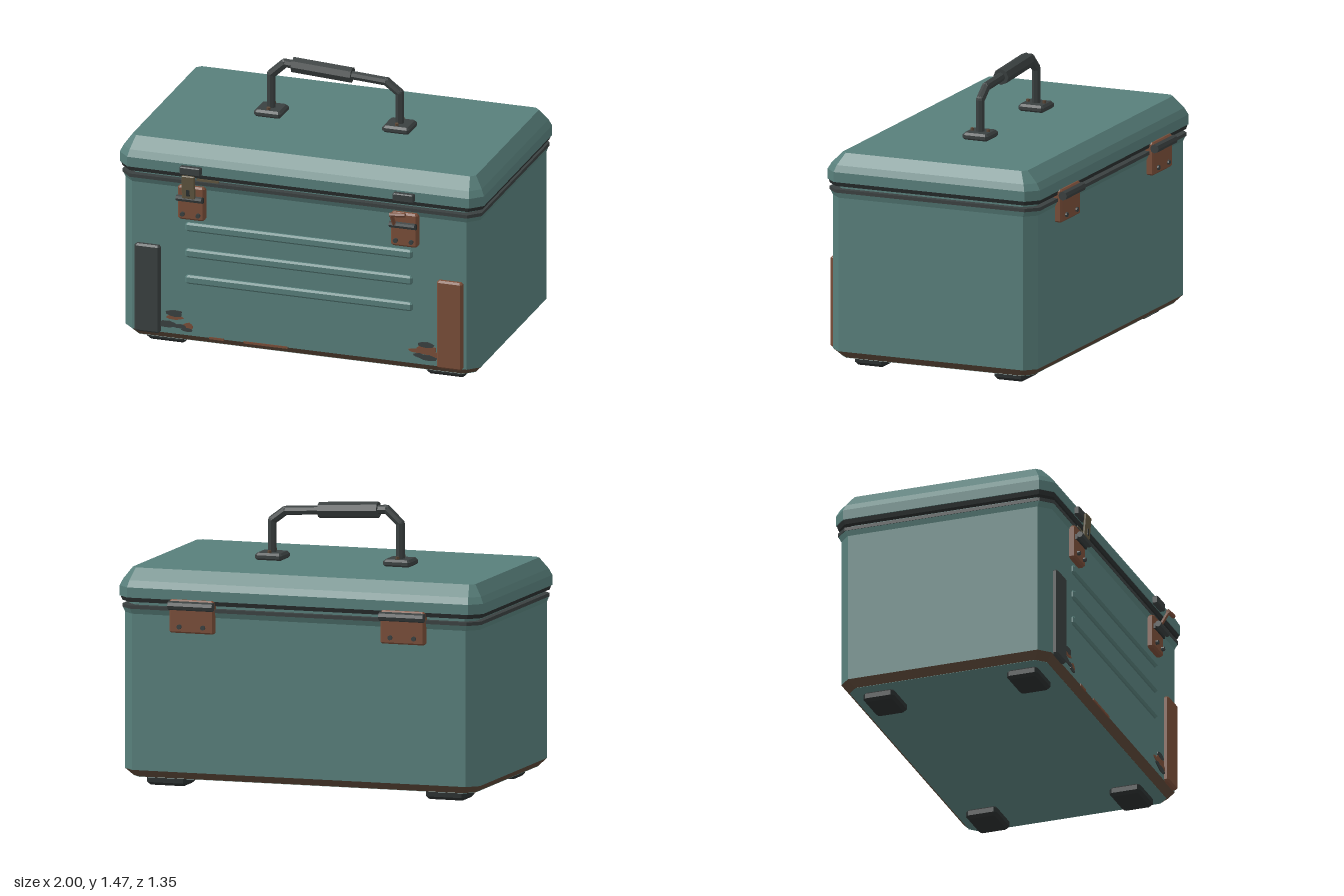
import * as THREE from 'three';

const mat = (name, color, opts = {}) => {
  const m = new THREE.MeshStandardMaterial({ color, flatShading: true, ...opts });
  m.name = name;
  return m;
};

export function createModel() {
  const M = {
    paint: mat('tealPaint', 0x587f7b),
    iron: mat('darkIron', 0x3a4040),
    rubber: mat('blackRubber', 0x2a2f2f),
    rust: mat('rust', 0x7a4e39),
    trim: mat('wornTrim', 0x5c4838),
    brass: mat('dullBrass', 0x615740),
  };
  const root = new THREE.Group();
  root.name = 'toolChest';

  const add = (name, geo, material, x = 0, y = 0, z = 0, parent = root) => {
    const mesh = new THREE.Mesh(geo, material);
    mesh.name = name;
    mesh.position.set(x, y, z);
    parent.add(mesh);
    return mesh;
  };

  // Stack of octagonal rings [y, halfX, halfZ, cornerCut], capped at both ends
  const loft = (rings) => {
    const loops = rings.map(([y, a, b, c]) =>
      [[a, b - c], [a - c, b], [c - a, b], [-a, b - c], [-a, c - b], [c - a, -b], [a - c, -b], [a, c - b]]
        .map(([x, z]) => [x, y, z]));
    const pos = [];
    const tri = (...pts) => pts.forEach((p) => pos.push(...p));
    for (let r = 0; r + 1 < loops.length; r++) {
      const lo = loops[r], hi = loops[r + 1];
      for (let i = 0; i < 8; i++) {
        const j = (i + 1) % 8;
        tri(lo[j], lo[i], hi[i]);
        tri(lo[j], hi[i], hi[j]);
      }
    }
    const bottom = loops[0], top = loops[loops.length - 1];
    for (let k = 1; k < 7; k++) {
      tri(bottom[0], bottom[k], bottom[k + 1]);
      tri(top[0], top[k + 1], top[k]);
    }
    const g = new THREE.BufferGeometry();
    g.setAttribute('position', new THREE.Float32BufferAttribute(pos, 3));
    g.computeVertexNormals();
    return g;
  };

  // Box with chamfered edges, centred on its origin
  const chamferBox = (w, h, d, b) => loft([
    [-h / 2, w / 2 - b, d / 2 - b, b * 0.5], [-h / 2 + b, w / 2, d / 2, b],
    [h / 2 - b, w / 2, d / 2, b], [h / 2, w / 2 - b, d / 2 - b, b * 0.5],
  ]);

  // Straight round bar between two points
  const rod = (name, a, b, r, material, sides = 8, parent = root) => {
    const from = new THREE.Vector3(...a), to = new THREE.Vector3(...b);
    const dir = to.clone().sub(from);
    const mesh = add(name, new THREE.CylinderGeometry(r, r, dir.length(), sides), material, 0, 0, 0, parent);
    mesh.position.copy(from).lerp(to, 0.5);
    mesh.quaternion.setFromUnitVectors(new THREE.Vector3(0, 1, 0), dir.normalize());
    return mesh;
  };

  const ZC = -0.024, FRONT = 0.56;

  // Body shell with worn bottom chamfer and flared rim
  add('bottomTrim', loft([[0.052, 0.94, 0.547, 0.05], [0.09, 0.976, 0.583, 0.058]]), M.trim, 0, 0, ZC);
  add('floor', loft([[0.05, 0.94, 0.547, 0.05], [0.053, 0.938, 0.545, 0.05]]), M.paint, 0, 0, ZC);
  add('body', loft([[0.09, 0.976, 0.583, 0.058], [0.91, 0.976, 0.583, 0.058], [0.94, 0.985, 0.597, 0.06]]),
    M.paint, 0, 0, ZC);
  add('rimSeal', loft([[0.938, 0.987, 0.599, 0.06], [0.956, 0.987, 0.599, 0.06]]), M.iron, 0, 0, ZC);
  add('neck', loft([[0.95, 0.955, 0.565, 0.05], [0.98, 0.955, 0.565, 0.05]]), M.paint, 0, 0, ZC);

  // Lid with gasket
  add('lidGasket', loft([[0.974, 0.988, 0.596, 0.06], [1.0, 0.996, 0.602, 0.06]]), M.rubber, 0, 0, ZC);
  add('lid', loft([[0.997, 1, 0.605, 0.062], [1.05, 1, 0.605, 0.062], [1.085, 0.984, 0.584, 0.052],
    [1.145, 0.942, 0.525, 0.025]]), M.paint, 0, 0, ZC);

  // Feet
  for (const x of [-0.767, 0.767])
    for (const z of [0.375, -0.42]) add('foot', chamferBox(0.216, 0.056, 0.172, 0.015), M.rubber, x, 0.028, z);

  // Front ribs and corner guards
  for (const y of [0.697, 0.552, 0.405])
    add('rib', chamferBox(1.248, 0.048, 0.036, 0.01), M.paint, 0, y, FRONT);
  add('rightGuard', chamferBox(0.14, 0.487, 0.05, 0.01), M.iron, -0.83, 0.331, FRONT);
  add('leftGuard', chamferBox(0.14, 0.487, 0.05, 0.01), M.rust, 0.83, 0.331, FRONT);

  // Carry handle: foot plates, bent bar, grip
  for (const x of [-0.355, 0.35]) {
    add('handlePlate', chamferBox(0.15, 0.04, 0.146, 0.012), M.iron, x, 1.162, ZC);
    for (const dz of [-0.046, 0.046])
      add('plateRivet', new THREE.CylinderGeometry(0.01, 0.01, 0.016, 6), M.trim, x, 1.187, ZC + dz);
  }
  const bar = [[-0.355, 1.17], [-0.355, 1.365], [-0.28, 1.435], [0.278, 1.402], [0.35, 1.348], [0.35, 1.17]]
    .map(([x, y]) => [x, y, ZC]);
  for (let i = 0; i + 1 < bar.length; i++) {
    rod('handleBar', bar[i], bar[i + 1], 0.024, M.iron);
    if (i) add('handleBend', new THREE.SphereGeometry(0.024, 8, 6), M.iron, ...bar[i]);
  }
  rod('handleGrip', [-0.235, 1.431, ZC], [0.09, 1.413, ZC], 0.043, M.iron);

  // Front latches: strike on the lid, rusty plate and pivot on the body
  for (const s of [-1, 1]) {
    const latch = new THREE.Group();
    latch.name = s < 0 ? 'rightLatch' : 'leftLatch';
    latch.position.x = s * 0.585;
    root.add(latch);
    add('latchStrike', chamferBox(0.115, 0.044, 0.06, 0.005), M.iron, 0, 1.02, 0.58, latch);
    add('latchPlate', chamferBox(0.148, 0.187, 0.06, 0.01), M.rust, 0, 0.838, 0.565, latch);
    add('latchBand', new THREE.BoxGeometry(0.142, 0.028, 0.012), M.rubber, 0, 0.863, 0.597, latch);
    rod('latchPivot', [-0.07, 0.873, 0.616], [0.07, 0.873, 0.616], 0.017, M.iron, 8, latch);
    for (const x of [-0.043, 0.043]) {
      const screw = add('latchScrew', new THREE.CylinderGeometry(0.012, 0.012, 0.022, 8), M.iron, x, 0.778, 0.599, latch);
      screw.rotation.x = Math.PI / 2;
    }
    if (s < 0) {
      // Closed lever
      const lever = add('latchLever', chamferBox(0.072, 0.13, 0.016, 0.004), M.brass, 0, 0.942, 0.63, latch);
      lever.rotation.x = 0.08;
      add('leverSlot', new THREE.BoxGeometry(0.018, 0.034, 0.008), M.rubber, 0, 0.912, 0.635, latch);
    } else {
      // Open, broken lever
      rod('openArm', [-0.043, 0.873, 0.62], [-0.043, 0.945, 0.666], 0.011, M.rust, 6, latch);
      rod('openBar', [-0.053, 0.943, 0.664], [0.032, 0.95, 0.664], 0.012, M.rust, 6, latch);
    }
  }
  add('rimScrape', new THREE.BoxGeometry(0.12, 0.012, 0.008), M.brass, -0.5, 0.965, 0.567);

  // Back hinges
  for (const x of [-0.581, 0.579]) {
    add('hingeLeaf', chamferBox(0.243, 0.175, 0.05, 0.008), M.rust, x, 0.914, -0.62);
    rod('hingeKnuckle', [x - 0.122, 0.971, -0.651], [x + 0.122, 0.971, -0.651], 0.024, M.iron);
    for (const dx of [-0.065, 0.065]) {
      const screw = add('hingeScrew', new THREE.CylinderGeometry(0.013, 0.013, 0.016, 8), M.iron, x + dx, 0.86, -0.647);
      screw.rotation.x = Math.PI / 2;
    }
  }

  // Chipped paint: ragged thin patches on the front face
  let seed = 7;
  const rand = () => (seed = (seed * 16807) % 2147483647) / 2147483647;
  const chip = (x, y, rx, ry, material, lift) => {
    const pts = [];
    for (let i = 0; i < 9; i++) {
      const a = (i / 9) * Math.PI * 2, k = 0.75 + rand() * 0.35;
      pts.push(new THREE.Vector2(Math.cos(a) * rx * k, Math.sin(a) * ry * k));
    }
    add('paintChip', new THREE.ExtrudeGeometry(new THREE.Shape(pts), { depth: lift, bevelEnabled: false }),
      material, x, y, FRONT - 0.001);
  };
  [[-0.685, 0.204, 0.05, 0.02, 0], [-0.685, 0.18, 0.055, 0.012, 1], [-0.725, 0.14, 0.055, 0.018, 0],
    [-0.66, 0.135, 0.04, 0.012, 0], [-0.61, 0.14, 0.03, 0.02, 1], [-0.62, 0.122, 0.035, 0.012, 0],
    [0.695, 0.202, 0.05, 0.018, 0], [0.7, 0.172, 0.06, 0.028, 1], [0.64, 0.163, 0.045, 0.013, 1],
    [0.655, 0.14, 0.035, 0.013, 0], [0.71, 0.132, 0.05, 0.016, 0], [0.74, 0.15, 0.03, 0.02, 1],
  ].forEach(([x, y, rx, ry, rusty]) => chip(x, y, rx, ry, rusty ? M.rust : M.iron, rusty ? 0.004 : 0.006));

  // Scuffs along the bottom edge
  for (const [x, w] of [[-0.455, 0.08], [-0.185, 0.24]])
    add('edgeScuff', new THREE.BoxGeometry(w, 0.012, 0.006), M.rust, x, 0.09, FRONT);

  return root;
}
